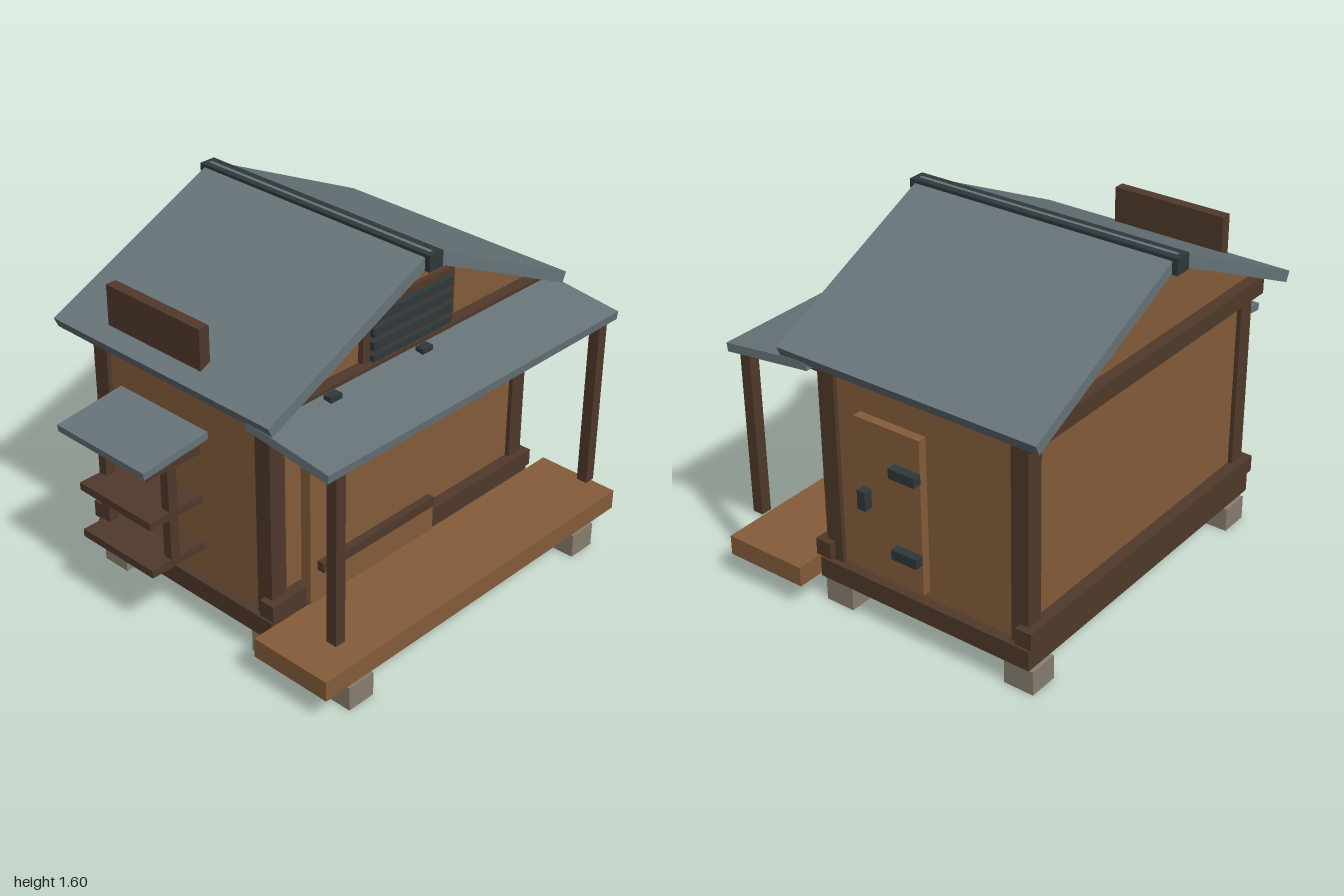
import * as THREE from 'three';

const mat = (color) => new THREE.MeshStandardMaterial({ color });

export function createModel() {
  const model = new THREE.Group();
  const wood = mat(0x855c3b), dark = mat(0x503a2b), roofing = mat(0x68757a);
  const metal = mat(0x2f383b), stone = mat(0x887f70);

  const add = (name, geometry, material) => {
    const mesh = new THREE.Mesh(geometry, material);
    mesh.name = name;
    model.add(mesh);
    return mesh;
  };
  // Box given by its extents along each axis
  const box = (name, material, x0, x1, y0, y1, z0, z1) => {
    const mesh = add(name, new THREE.BoxGeometry(x1 - x0, y1 - y0, z1 - z0), material);
    mesh.position.set((x0 + x1) / 2, (y0 + y1) / 2, (z0 + z1) / 2);
    return mesh;
  };
  // Outline in x, y pulled along z
  const prism = (name, material, points, z0, z1) => {
    const shape = new THREE.Shape(points.map(([x, y]) => new THREE.Vector2(x, y)));
    const geometry = new THREE.ExtrudeGeometry(shape, { depth: z1 - z0, bevelEnabled: false });
    add(name, geometry, material).position.z = z0;
  };
  const cx = 0.09; // middle of the house

  // Stone footings
  for (const x of [-0.617, 0.797])
    for (const z of [0.715, 0.315, -0.602])
      box('footing', stone, x - 0.068, x + 0.068, 0, 0.11, z - 0.07, z + 0.07);

  // Floor, porch deck and walls
  box('floor', dark, -0.71, 0.89, 0.13, 0.22, -0.67, 0.385);
  box('porchDeck', wood, -0.82, 1, 0.13, 0.22, 0.4, 0.79);
  box('walls', wood, cx - 0.755, cx + 0.755, 0.22, 1.15, -0.63, 0.345);

  // Corner posts and porch posts
  for (const side of [-1, 1]) {
    const x = cx + side * 0.735;
    for (const z of [0.325, -0.61])
      box('cornerPost', dark, x - 0.04, x + 0.04, 0.22, 1.15, z - 0.04, z + 0.04);
    const px = cx + side * 0.785;
    box('porchPost', dark, px - 0.025, px + 0.025, 0.31, 1.1, 0.695, 0.745);
  }

  // Beams along the front and back
  for (const z of [0.3625, -0.6475])
    for (const y of [0.235, 1.1])
      box('beam', dark, -0.715, 0.895, y, y + 0.075, z - 0.0375, z + 0.0375);

  // Gable and roof slopes
  prism('gable', wood, [[cx - 0.82, 1.15], [cx + 0.82, 1.15], [cx, 1.535]], -0.63, 0.345);
  const slope = [[0, 1.549], [0.86, 1.15], [0.88, 1.195], [0, 1.604]];
  prism('roofLeft', roofing, slope.map(([x, y]) => [cx + x, y]), -0.76, 0.47);
  prism('roofRight', roofing, slope.map(([x, y]) => [cx - x, y]).reverse(), -0.76, 0.47);
  box('ridgeCap', metal, 0.053, 0.13, 1.53, 1.6, -0.785, 0.495);
  box('roofPlank', dark, -0.715, -0.665, 1.2, 1.41, -0.505, 0.03);

  // Gable vent with slats
  box('ventFrame', dark, -0.18, 0.355, 1.155, 1.41, 0.34, 0.37);
  for (let i = 0; i < 4; i++) {
    const y = 1.165 + i * 0.059;
    box('ventSlat', metal, -0.14, 0.32, y, y + 0.037, 0.365, 0.39);
  }

  // Sloping porch roof
  const porchRoof = add('porchRoof', new THREE.BoxGeometry(1.73, 0.038, 0.425), roofing);
  porchRoof.position.set(cx, 1.123, 0.545);
  porchRoof.rotation.x = 0.117;

  // Sliding front door with battens and hangers
  box('frontDoor', wood, -0.53, 0.205, 0.24, 1.08, 0.375, 0.425);
  for (const y of [0.39, 0.88]) box('doorBatten', dark, -0.49, 0.17, y, y + 0.043, 0.42, 0.46);
  for (const x of [-0.42, 0.1]) box('doorHanger', metal, x - 0.03, x + 0.03, 1.055, 1.175, 0.42, 0.46);

  // Side door with hinges and handle
  box('sideDoor', wood, 0.84, 0.885, 0.255, 0.96, -0.155, 0.17);
  for (const y of [0.4, 0.77]) box('hinge', metal, 0.88, 0.925, y, y + 0.045, -0.155, -0.03);
  box('doorHandle', metal, 0.88, 0.925, 0.57, 0.655, 0.095, 0.135);

  // Open shelves with an awning
  for (const y of [0.347, 0.575, 0.808])
    box('shelf', dark, -0.945, -0.66, y, y + 0.035, -0.47, -0.045);
  for (const z of [-0.45, -0.07])
    box('shelfPost', dark, -0.84, -0.795, 0.345, 0.845, z - 0.022, z + 0.022);
  const awning = add('shelfAwning', new THREE.BoxGeometry(0.34, 0.032, 0.515), roofing);
  awning.position.set(-0.829, 0.892, -0.257);
  awning.rotation.z = 0.115;

  return model;
}
